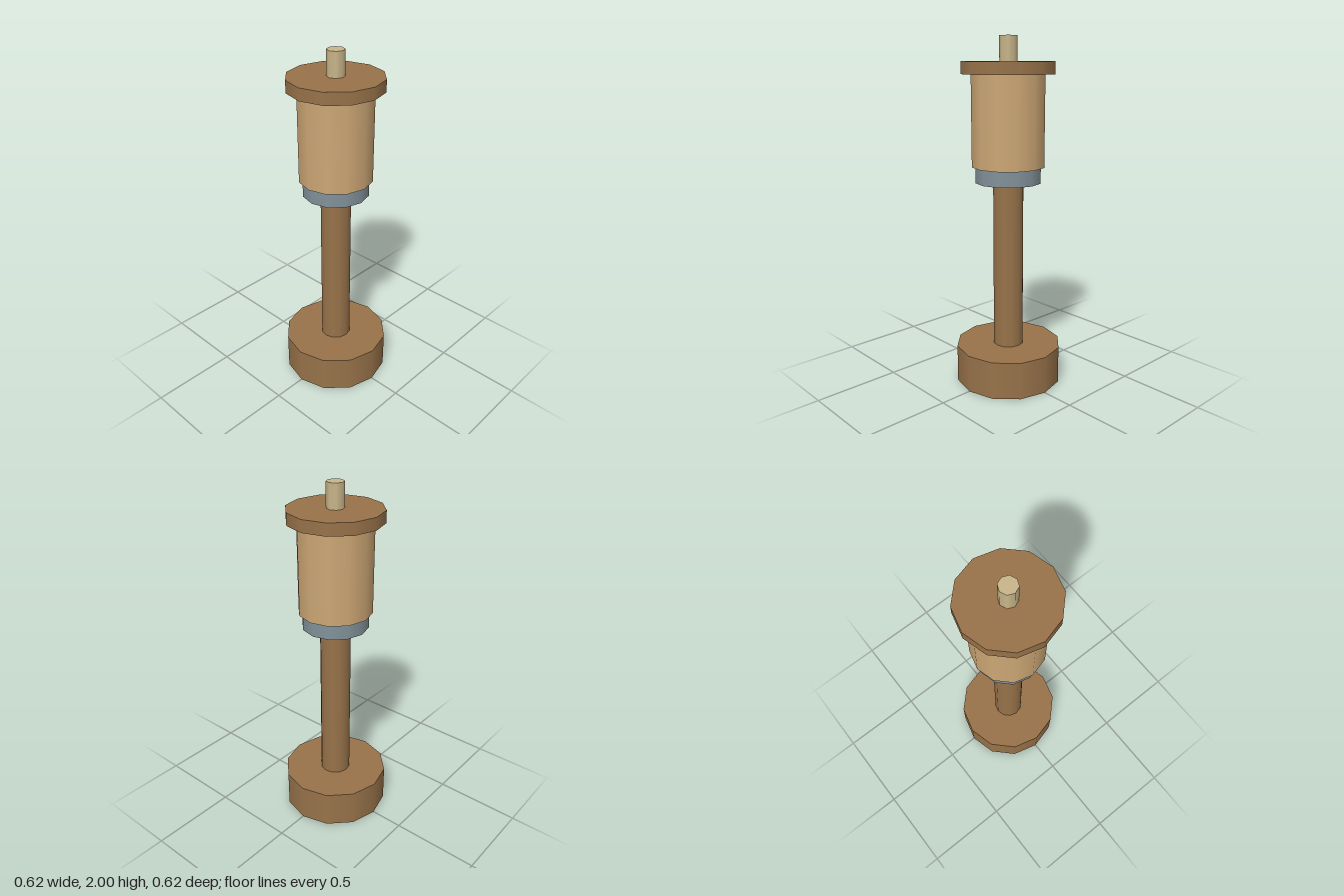
import * as THREE from 'three';

const material = (name, color) => {
  const m = new THREE.MeshStandardMaterial({ color });
  m.name = name;
  return m;
};

export function createModel() {
  const wood = material('brown wood', 0x98734a);
  const paleWood = material('pale wood', 0xcda775);
  const metal = material('blue grey metal', 0x82929a);
  const bone = material('cream', 0xc9b68a);

  const model = new THREE.Group();
  model.name = 'turnedPost';

  // Upright smooth-sided cylinder between two heights
  const turned = (name, mat, radius, bottom, top, sides = 12) => {
    const mesh = new THREE.Mesh(
      new THREE.CylinderGeometry(radius, radius, top - bottom, sides), mat);
    mesh.name = name;
    mesh.position.y = (bottom + top) / 2;
    model.add(mesh);
  };

  turned('base', wood, 0.309, 0, 0.22);
  turned('shaft', wood, 0.088, 0.22, 1.195);
  turned('collar', metal, 0.189, 1.195, 1.285);
  turned('drum', paleWood, 0.209, 1.285, 1.795);
  turned('cap', wood, 0.264, 1.795, 1.863);
  turned('topPin', bone, 0.0495, 1.863, 2, 8);

  return model;
}
